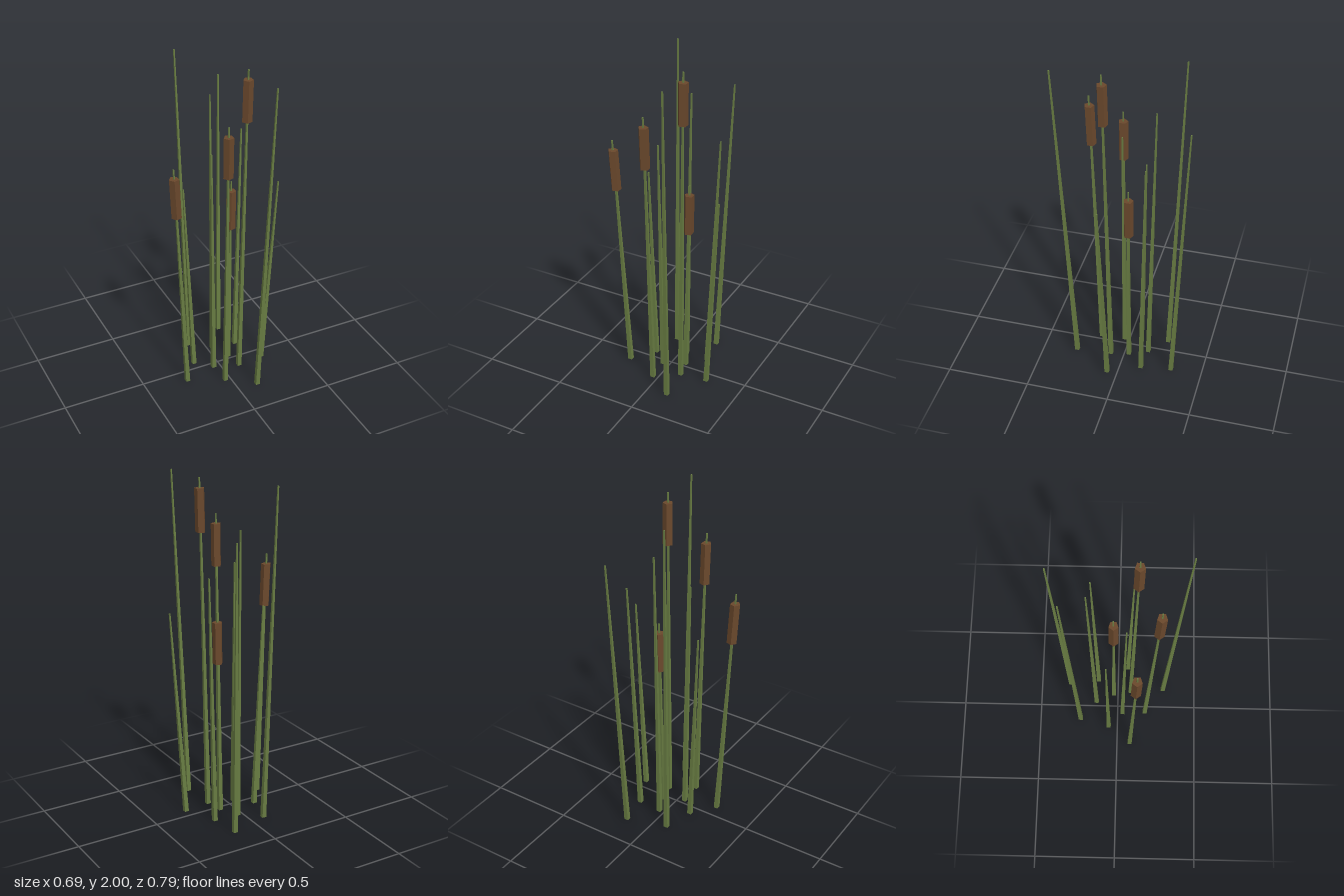
import * as THREE from 'three';

// Each reed: base x, base z, tip x, tip z, height, has a seed head
const REEDS = [
  [0.155, -0.311, 0.195, -0.393, 1.75, false],
  [-0.086, -0.24, -0.12, -0.3, 2, false],
  [0.033, -0.139, 0.035, -0.17, 1.75, false],
  [0.182, -0.128, 0.228, -0.157, 1.5, false],
  [-0.136, -0.056, -0.185, -0.063, 1.25, false],
  [-0.042, 0.031, -0.061, 0.049, 1.5, false],
  [0.27, 0.063, 0.343, 0.089, 1.25, false],
  [0.124, 0.294, 0.155, 0.391, 2, false],
  [0.085, -0.027, 0.101, -0.027, 1.25, true],
  [0.107, 0.082, 0.13, 0.113, 2, true],
  [-0.033, 0.177, -0.048, 0.237, 1.75, true],
  [-0.243, 0.082, -0.319, 0.113, 1.5, true],
];

// Lean an upright geometry so its axis follows the reed from base to tip
function lean(geometry, [bx, bz, tx, tz, height]) {
  const p = geometry.attributes.position;
  for (let i = 0; i < p.count; i++) {
    const t = p.getY(i) / height;
    p.setX(i, p.getX(i) + bx + (tx - bx) * t);
    p.setZ(i, p.getZ(i) + bz + (tz - bz) * t);
  }
  geometry.computeVertexNormals();
  return geometry.toNonIndexed();
}

function flatMesh(name, geometry, material) {
  geometry.computeVertexNormals();
  const mesh = new THREE.Mesh(geometry, material);
  mesh.name = name;
  return mesh;
}

export function createModel() {
  const model = new THREE.Group();
  model.name = 'reeds';
  const green = new THREE.MeshStandardMaterial({ color: 0x687c42 });
  green.name = 'stem green';
  const brown = new THREE.MeshStandardMaterial({ color: 0x6a482c });
  brown.name = 'seed head brown';

  for (const reed of REEDS) {
    const height = reed[4];
    const group = new THREE.Group();
    group.name = reed[5] ? 'cattail' : 'reed';

    // Square stem tapering to a thin tip
    const stem = new THREE.CylinderGeometry(0.0055, 0.0184, height, 4, 1, false, Math.PI / 4);
    stem.translate(0, height / 2, 0);
    group.add(flatMesh('stem', lean(stem, reed), green));

    // Five-sided seed head just below the tip
    if (reed[5]) {
      const head = new THREE.CylinderGeometry(0.03, 0.03, 0.25, 5, 1, false, -Math.PI / 2);
      head.translate(0, height - 0.185, 0);
      group.add(flatMesh('seedHead', lean(head, reed), brown));
    }
    model.add(group);
  }
  return model;
}
